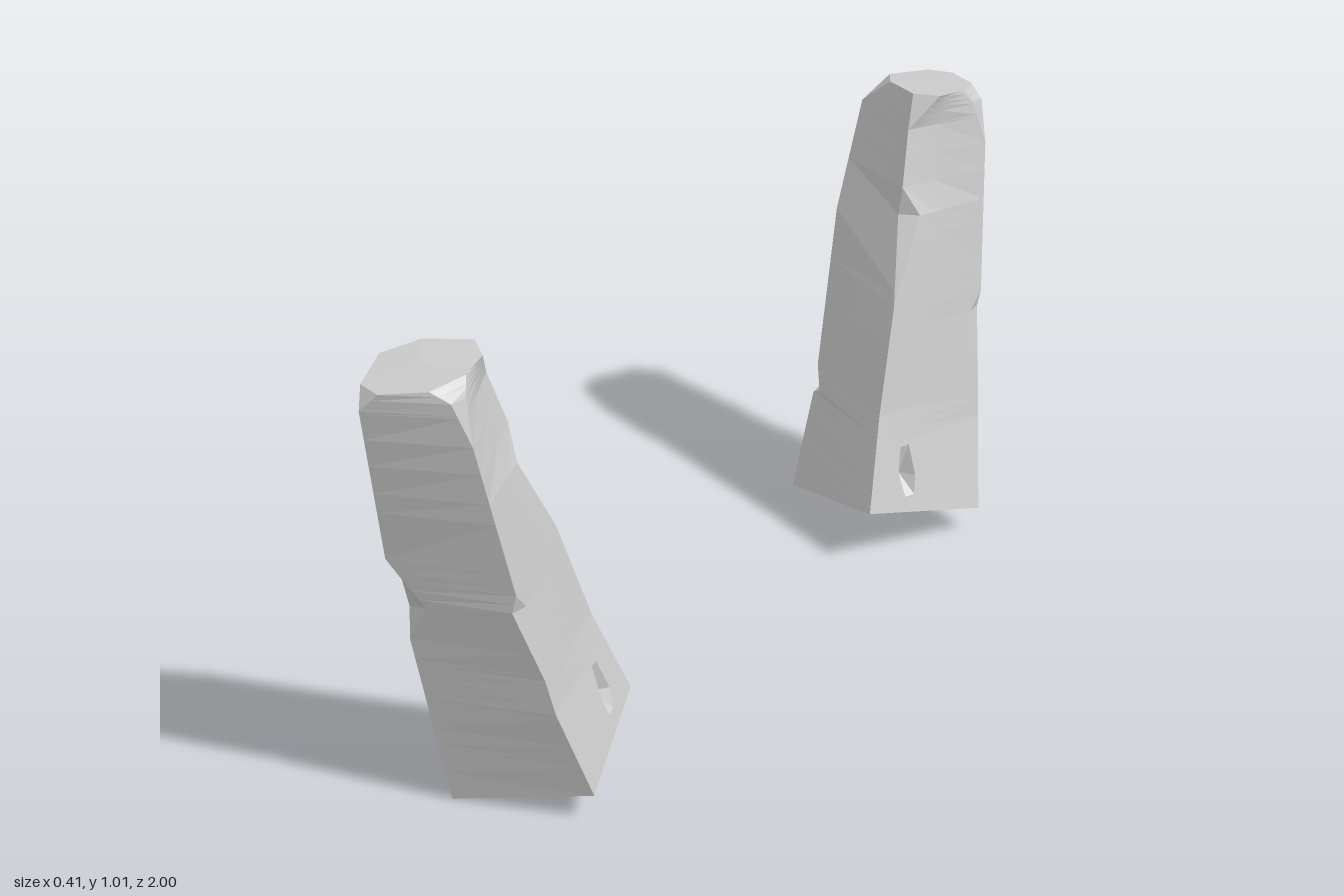
import * as THREE from 'three';

// Each of the four corners has two edge tracks running base to top.
// They coincide on the sharp edge and part where a chip or bevel cuts it.
const V = (x, y, z) => new THREE.Vector3(x, y, z);
function corner(shared, first, second) {
  const track = extra => [...shared, ...extra].map(p => V(...p)).sort((p, q) => p.y - q.y);
  return [track(first), track(second)];
}

// Point on a track at a height, held at its ends
function sample(track, y) {
  if (y <= track[0].y) return track[0].clone();
  for (let i = 1; i < track.length; i++) {
    const a = track[i - 1], b = track[i];
    if (y <= b.y) return a.clone().lerp(b, (y - a.y) / (b.y - a.y));
  }
  return track[track.length - 1].clone();
}

function stoneGeometry() {
  const outer = corner(
    [[-0.08, 0, 0.82], [-0.105, 0.4, 0.893], [-0.12, 0.59, 0.934], [-0.105, 0.935, 1.0]],
    [[-0.122, 0.455, 0.87], [-0.125, 0.52, 0.885], [-0.125, 0.973, 0.97]],
    [[-0.06, 0.48, 0.892], [-0.07, 0.973, 0.985]]);
  const side = corner(
    [[0.2, 0.06, 0.718], [0.155, 0.26, 0.775], [0.143, 0.34, 0.79], [0.115, 0.54, 0.834], [0.075, 0.87, 0.895]],
    [[0.105, 0.5, 0.836], [0.047, 0.96, 0.918], [0.01, 0.982, 0.935]],
    [[0.11, 0.5, 0.8], [0.05, 0.96, 0.88], [0.035, 0.994, 0.86]]);
  const inner = corner(
    [[0.083, 0.13, 0.443], [0.05, 0.33, 0.524], [0.03, 0.56, 0.604], [-0.01, 0.81, 0.69], [-0.025, 0.93, 0.731]],
    [[0.025, 0.745, 0.71], [0.018, 1.0, 0.79]],
    [[-0.018, 0.745, 0.688], [-0.03, 1.006, 0.755]]);
  const back = corner(
    [[-0.198, 0.068, 0.55], [-0.188, 0.285, 0.615], [-0.187, 0.35, 0.63], [-0.205, 0.7, 0.725], [-0.198, 0.935, 0.81]],
    [[-0.165, 0.3, 0.605], [-0.12, 1.0, 0.8]],
    [[-0.18, 0.3, 0.645], [-0.165, 0.985, 0.87]]);

  const corners = [outer, side, inner, back];
  const chipY = 0.18;
  const heights = new Set([0.14, chipY, 0.25]);
  corners.flat(2).forEach(p => heights.add(p.y));
  const rows = [...heights].sort((a, b) => a - b).map(y => {
    const [o1, o2, s1, s2, i1, i2, b1, b2] = corners.flat().map(t => sample(t, y));
    // small chip low on the face between side and inner corners
    const chip = [0.6, 0.68, 0.76].map(t => s2.clone().lerp(i1, t));
    if (y === chipY) chip[1].add(V(-0.03, 0, 0.012));
    return [o1, o2, s1, s2, ...chip, i1, i2, b1, b2];
  });

  const pos = [];
  const tri = (a, b, c) => {
    const area = b.clone().sub(a).cross(c.clone().sub(a)).length();
    if (area > 1e-7) for (const p of [a, b, c]) pos.push(p.x, p.y, p.z);
  };
  // walls, open at the base
  const n = rows[0].length;
  for (let r = 0; r < rows.length - 1; r++) {
    for (let i = 0; i < n; i++) {
      const j = (i + 1) % n, lo = rows[r], hi = rows[r + 1];
      tri(lo[i], lo[j], hi[j]);
      tri(lo[i], hi[j], hi[i]);
    }
  }
  // cap
  const top = rows[rows.length - 1];
  const mid = V(-0.065, 0.991, 0.865);
  top.forEach((p, i) => tri(p, top[(i + 1) % n], mid));

  const geo = new THREE.BufferGeometry();
  geo.setAttribute('position', new THREE.Float32BufferAttribute(pos, 3));
  geo.computeVertexNormals();
  return geo;
}

export function createModel() {
  const group = new THREE.Group();
  group.name = 'standingStones';
  const material = new THREE.MeshStandardMaterial({ color: 0xcccccc, flatShading: true, side: THREE.DoubleSide });
  const geometry = stoneGeometry();
  // mirrored pair leaning away from each other
  for (const [name, s] of [['frontStone', 1], ['backStone', -1]]) {
    const stone = new THREE.Mesh(geometry, material);
    stone.name = name;
    stone.scale.z = s;
    group.add(stone);
  }
  return group;
}
